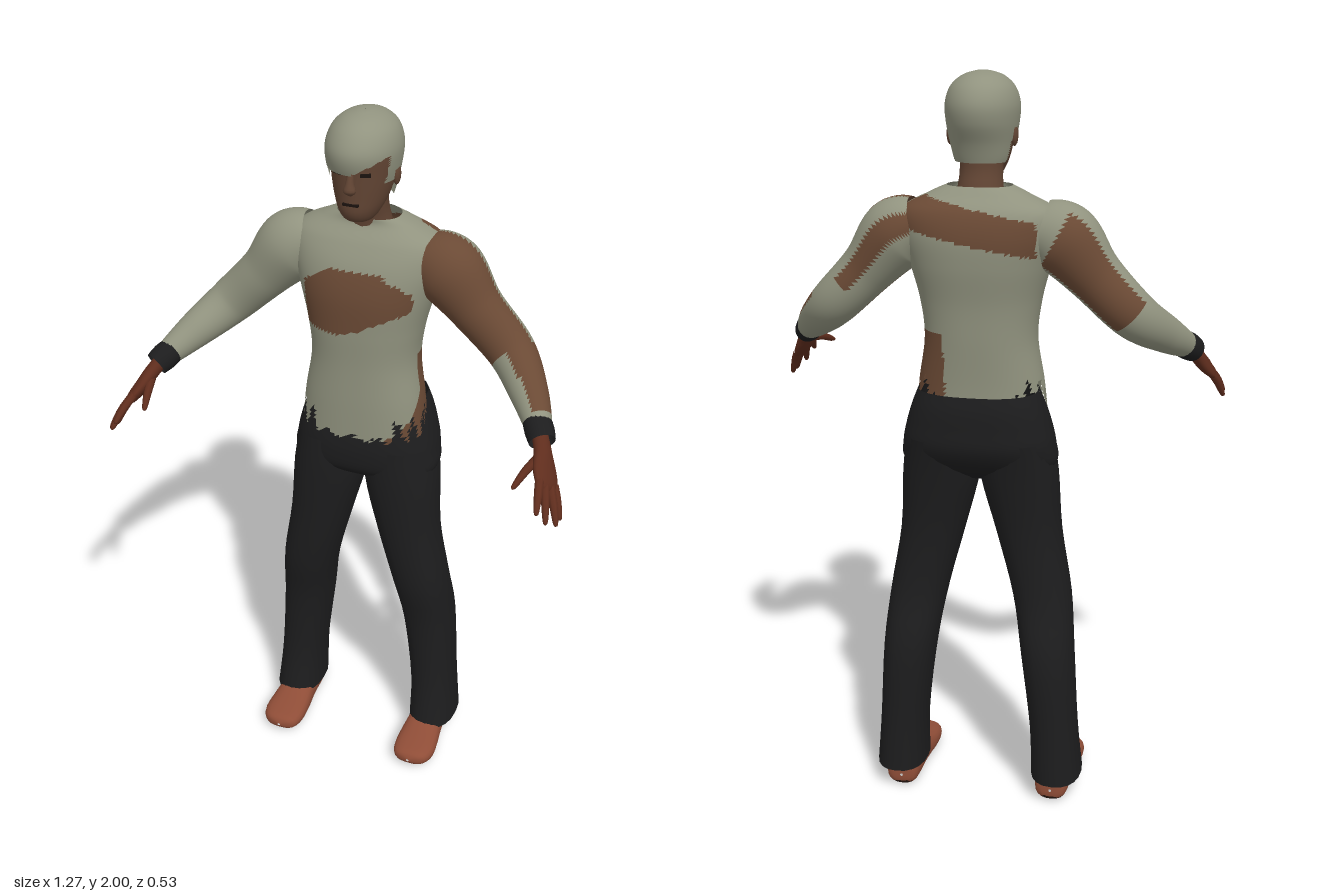
import * as THREE from 'three';

const mat = (name, color, side = THREE.FrontSide) => {
  const m = new THREE.MeshStandardMaterial({ color, side });
  m.name = name;
  return m;
};

export function createModel() {
  const both = THREE.DoubleSide;
  const cloth = mat('greyCloth', 0x91937f, both);
  const patch = mat('brownPatch', 0x6b4a35, both);
  const black = mat('blackCloth', 0x1d1d1e, both);
  const skin = mat('faceSkin', 0x614433);
  const hand = mat('handSkin', 0x5f2d1d);
  const leather = mat('shoeLeather', 0x8f4d37);
  const sole = mat('shoeSole', 0x2c1a13);
  const dark = mat('darkFeature', 0x1a120e);

  const model = new THREE.Group();
  const V = (x, y, z) => new THREE.Vector3(x, y, z);
  const add = (parent, name, geo, material) => {
    const mesh = new THREE.Mesh(geo, material);
    mesh.name = name;
    parent.add(mesh);
    return mesh;
  };

  // Smooth interpolation of one ring table [x, y, z, radiusS, radiusT]
  const sample = (rings, u) => {
    const f = u * (rings.length - 1), i = Math.min(Math.floor(f), rings.length - 2), t = f - i;
    const at = (k) => rings[Math.max(0, Math.min(rings.length - 1, k))];
    return rings[0].map((_, c) => {
      const [a, b, d, e] = [at(i - 1)[c], at(i)[c], at(i + 1)[c], at(i + 2)[c]];
      const v = b + 0.5 * t * (d - a + t * (2 * a - 5 * b + 4 * d - e + t * (3 * (b - d) + e - a)));
      return c > 2 ? Math.max(0.0005, v) : v;
    });
  };

  // Loft through rings; pick(x, y, z, u, angle) chooses a material index, or -1 for no face
  function loft(rings, { rows = 24, cols = 20, hint = V(1, 0, 0), dir = null, power = 2, mirror = 1, pick = () => 0 } = {}) {
    const pos = [], info = [], faces = [];
    for (let r = 0; r <= rows; r++) {
      const u = r / rows, [x, y, z, rs, rt] = sample(rings, u);
      const p = sample(rings, Math.max(0, u - 0.03)), q = sample(rings, Math.min(1, u + 0.03));
      const d = dir ?? V(q[0] - p[0], q[1] - p[1], q[2] - p[2]).normalize();
      const s = hint.clone().addScaledVector(d, -hint.dot(d)).normalize();
      const t = s.clone().cross(d);
      for (let c = 0; c < cols; c++) {
        const a = (c / cols) * Math.PI * 2, round = (v) => Math.sign(v) * Math.abs(v) ** (2 / power);
        const v = V(x, y, z).addScaledVector(s, rs * round(Math.cos(a))).addScaledVector(t, rt * round(Math.sin(a)));
        pos.push(v.x * mirror, v.y, v.z);
        info.push([v.x, v.y, v.z, u, a]);
      }
    }
    const face = (a, b, c) => {
      const m = info[a].map((_, k) => k === 4 ? info[a][4] : (info[a][k] + info[b][k] + info[c][k]) / 3);
      const k = pick(...m);
      if (k >= 0) (faces[k] ??= []).push(...(mirror > 0 ? [a, b, c] : [a, c, b]));
    };
    for (let r = 0; r < rows; r++) for (let c = 0; c < cols; c++) {
      const a = r * cols + c, b = r * cols + (c + 1) % cols;
      face(a, a + cols, b);
      face(b, a + cols, b + cols);
    }
    const geo = new THREE.BufferGeometry(), index = [];
    geo.setAttribute('position', new THREE.Float32BufferAttribute(pos, 3));
    faces.forEach((list, k) => {
      geo.addGroup(index.length, list.length, k);
      for (const i of list) index.push(i);
    });
    geo.setIndex(index);
    geo.computeVertexNormals();
    return geo;
  }
  const UP = V(0, 1, 0);

  // Shirt: torn hem, brown patches on chest, left waist and upper back
  add(model, 'shirt', loft([
    [0, 1.09, -0.10, 0.18, 0.112], [0, 1.20, -0.10, 0.168, 0.112], [0, 1.32, -0.105, 0.15, 0.115],
    [0, 1.42, -0.107, 0.16, 0.12], [0, 1.52, -0.115, 0.185, 0.128], [0, 1.60, -0.125, 0.205, 0.122],
    [0, 1.66, -0.132, 0.20, 0.10], [0, 1.70, -0.13, 0.13, 0.068], [0, 1.72, -0.122, 0.085, 0.058],
  ], {
    rows: 72, cols: 80, dir: UP, power: 2.3,
    pick: (x, y, z, u, a) => {
      const side = Math.abs(x) > 0.11;
      const hem = (z < -0.1 ? 1.15 : 1.1) + (side ? 0.035 : 0.008) * (1 + Math.sin(a * 17));
      if (y < hem) return -1;
      const low = 1.415 + 0.45 * Math.max(0, x + 0.03), high = 1.595 - 0.65 * Math.max(0, Math.abs(x) - 0.07);
      if (z > -0.1 && x > -0.145 && x < 0.152 && y > low && y < high) return 1;
      if (x > 0.08 && y < 1.34 && z < -0.09 + 0.7 * Math.max(0, 1.24 - y) && z > -0.205) return 1;
      if (z < -0.15 && x > -0.16 && Math.abs(y - 1.625 - 0.2 * x) < 0.045) return 1;
      return 0;
    },
  }), [cloth, patch]);

  // Trousers
  const trousers = new THREE.Group();
  trousers.name = 'trousers';
  model.add(trousers);
  add(trousers, 'hips', loft([
    [0, 0.94, -0.115, 0.13, 0.05], [0, 0.98, -0.117, 0.205, 0.105], [0, 1.04, -0.13, 0.205, 0.13],
    [0, 1.10, -0.135, 0.192, 0.129], [0, 1.15, -0.14, 0.176, 0.123], [0, 1.19, -0.142, 0.16, 0.113],
  ], { cols: 32, dir: UP, power: 2.5 }), black);

  for (const side of [1, -1]) {
    const label = side > 0 ? 'left' : 'right';
    add(trousers, label + 'Leg', loft([
      [0.224, 0.065, -0.137, 0.071, 0.105], [0.215, 0.22, -0.147, 0.066, 0.093], [0.195, 0.44, -0.145, 0.073, 0.096],
      [0.173, 0.60, -0.112, 0.08, 0.092], [0.134, 0.78, -0.105, 0.089, 0.095], [0.107, 0.95, -0.115, 0.105, 0.11],
      [0.10, 1.06, -0.13, 0.095, 0.12],
    ], { dir: UP, power: 2.3, mirror: side }), black);

    // Shoe with dark sole
    add(model, label + 'Shoe', loft([
      [0.216, 0.035, -0.212, 0.004, 0.004], [0.216, 0.042, -0.205, 0.04, 0.037], [0.216, 0.05, -0.16, 0.05, 0.049],
      [0.216, 0.048, -0.09, 0.052, 0.047], [0.217, 0.04, -0.02, 0.06, 0.036], [0.218, 0.036, 0.04, 0.062, 0.028],
      [0.216, 0.034, 0.078, 0.045, 0.021], [0.215, 0.033, 0.09, 0.004, 0.004],
    ], {
      dir: V(0, 0, 1), power: 2.5, mirror: side, pick: (x, y) => (y < 0.015 ? 1 : 0),
    }), [leather, sole]);

    // Sleeve: the left one is brown in front, the right one brown behind
    const arm = new THREE.Group();
    arm.name = label + 'Arm';
    model.add(arm);
    add(arm, 'sleeve', loft([
      [0.155, 1.615, -0.13, 0.075, 0.075], [0.22, 1.585, -0.125, 0.095, 0.088], [0.30, 1.495, -0.12, 0.073, 0.07],
      [0.40, 1.395, -0.11, 0.064, 0.062], [0.477, 1.328, -0.025, 0.05, 0.05], [0.532, 1.278, 0.062, 0.033, 0.034],
    ], {
      rows: 50, cols: 36, hint: V(1, 1, 0), mirror: side,
      pick: (x, y, z, u, a) => {
        const c = Math.cos(a), s = Math.sin(a);
        if (side < 0) return u > 0.15 && u < 0.58 && s > 0.6 ? 1 : 0;
        if (u < 0.62) return s < 0.1 || (s > 0.8 && c > 0 && u < 0.5) ? 1 : 0;
        return u < 0.92 && c > 0.2 + (u - 0.62) && s < 0.5 ? 1 : 0;
      },
    }), [cloth, patch]);
    add(arm, 'cuff', loft([
      [0.518, 1.29, 0.04, 0.036, 0.038], [0.532, 1.277, 0.062, 0.038, 0.038], [0.546, 1.263, 0.085, 0.034, 0.035],
    ], { rows: 4, hint: V(1, 1, 0), mirror: side }), black);

    // Hand: flat palm, four fingers and a thumb
    add(arm, 'palm', loft([
      [0.535, 1.272, 0.07, 0.022, 0.02], [0.552, 1.247, 0.10, 0.027, 0.02], [0.568, 1.217, 0.135, 0.041, 0.019],
      [0.586, 1.19, 0.168, 0.04, 0.014], [0.592, 1.18, 0.178, 0.01, 0.004],
    ], { rows: 14, hint: V(-0.028, 0.03, 0.045), mirror: side }), hand);
    const fingers = [
      [[0.568, 1.212, 0.178], [0.586, 1.165, 0.265]],
      [[0.581, 1.198, 0.172], [0.608, 1.132, 0.25]],
      [[0.592, 1.187, 0.16], [0.629, 1.112, 0.22]],
      [[0.598, 1.18, 0.143], [0.63, 1.108, 0.185]],
      [[0.547, 1.235, 0.115], [0.512, 1.203, 0.23]],
    ];
    fingers.forEach(([a, b], i) => {
      const mid = a.map((v, k) => (v + b[k]) / 2 + (k === 1 ? 0.006 : 0));
      const near = a.map((v, k) => v + (b[k] - v) * 0.92);
      add(arm, i < 4 ? 'finger' : 'thumb', loft([
        [...a, 0.012, 0.012], [...mid, 0.011, 0.011], [...near, 0.007, 0.007], [...b, 0.001, 0.001],
      ], { rows: 8, cols: 8, hint: V(1, 0.3, 0), mirror: side }), hand);
    });
  }

  // Neck, head and face
  const head = new THREE.Group();
  head.name = 'head';
  model.add(head);
  add(head, 'neck', loft([
    [0, 1.64, -0.125, 0.075, 0.06], [0, 1.71, -0.115, 0.06, 0.055], [0, 1.76, -0.10, 0.056, 0.055], [0, 1.82, -0.095, 0.06, 0.06],
  ], { rows: 10, dir: UP }), skin);
  add(head, 'face', loft([
    [0, 1.728, -0.04, 0.004, 0.004], [0, 1.735, -0.045, 0.036, 0.042], [0, 1.76, -0.055, 0.055, 0.069],
    [0, 1.80, -0.07, 0.071, 0.086], [0, 1.86, -0.085, 0.083, 0.103], [0, 1.92, -0.085, 0.083, 0.105],
    [0, 1.96, -0.085, 0.06, 0.08], [0, 1.98, -0.085, 0.01, 0.01],
  ], { rows: 28, cols: 28, dir: UP }), skin);
  add(head, 'nose', loft([
    [0, 1.875, 0.012, 0.008, 0.008], [0, 1.845, 0.02, 0.011, 0.012], [0, 1.825, 0.022, 0.017, 0.015], [0, 1.812, 0.016, 0.004, 0.004],
  ], { rows: 10, cols: 12, dir: V(0, -1, 0) }), skin);
  const mouth = add(head, 'mouth', new THREE.BoxGeometry(0.042, 0.006, 0.008), dark);
  mouth.position.set(0, 1.787, 0.015);
  for (const side of [1, -1]) {
    const ear = add(head, 'ear', new THREE.SphereGeometry(1, 12, 8), skin);
    ear.scale.set(0.01, 0.028, 0.016);
    ear.position.set(side * 0.083, 1.842, -0.09);
    const eye = add(head, 'eye', new THREE.BoxGeometry(0.026, 0.009, 0.008), dark);
    eye.position.set(side * 0.036, 1.866, 0.007);
    eye.rotation.y = side * 0.4;
  }

  // Hair with a fringe swept to the right side
  add(head, 'hair', loft([
    [0, 1.755, -0.092, 0.06, 0.06], [0, 1.785, -0.09, 0.074, 0.072], [0, 1.825, -0.085, 0.084, 0.092],
    [0, 1.875, -0.083, 0.093, 0.118], [0, 1.92, -0.083, 0.095, 0.124], [0, 1.96, -0.085, 0.082, 0.105],
    [0, 1.986, -0.085, 0.055, 0.072], [0, 1.998, -0.085, 0.022, 0.03], [0, 2.0, -0.085, 0.001, 0.001],
  ], {
    rows: 64, cols: 64, dir: UP,
    pick: (x, y, z) => {
      let line = 1.775;
      if (z > -0.03) line = x < 0.01 ? 1.868 : 1.873 + (x - 0.01) * 0.5;
      else if (z > -0.065) line = 1.835;
      else if (z > -0.115) line = 1.862;
      return y < line ? -1 : 0;
    },
  }), cloth);

  return model;
}
